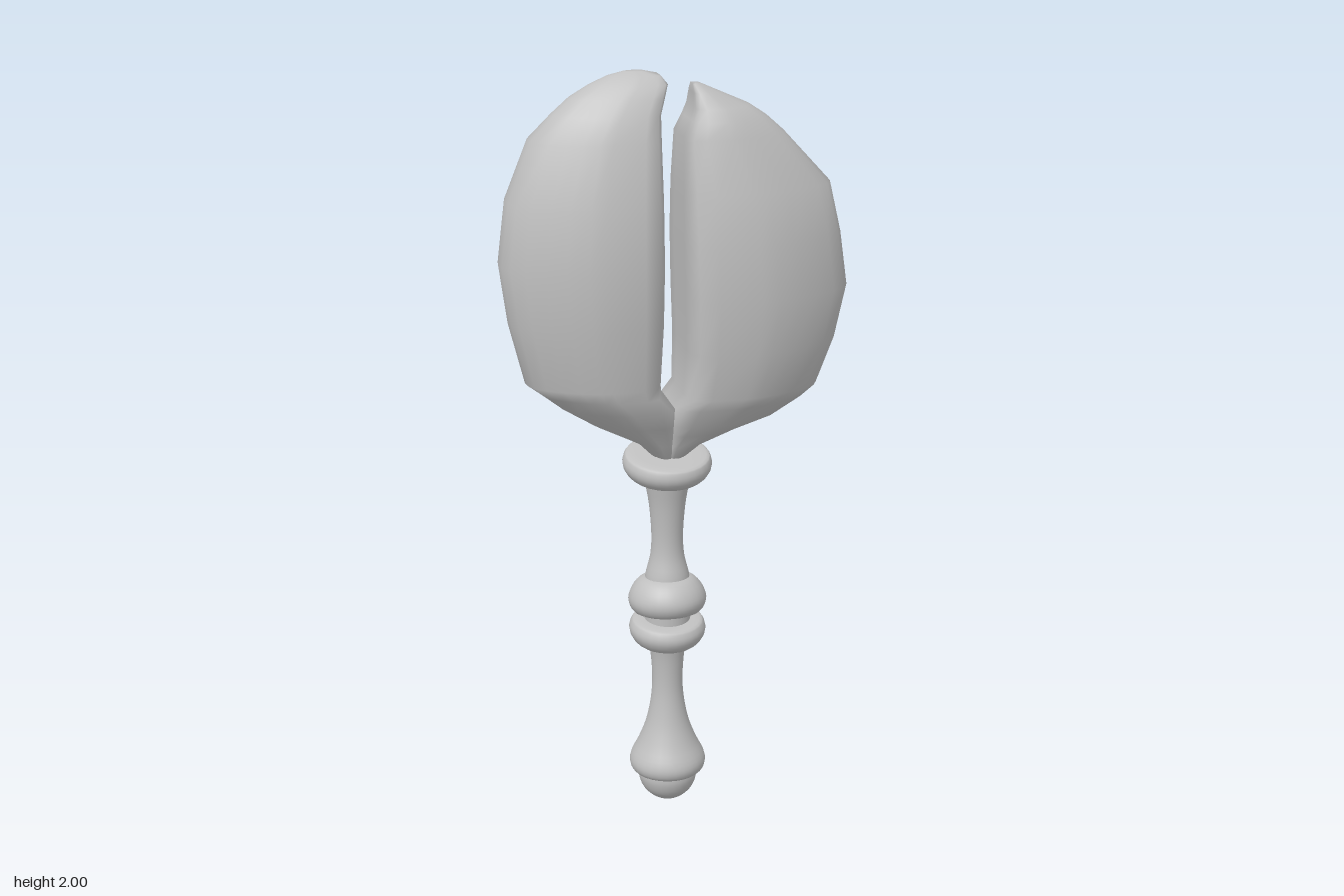
import * as THREE from 'three';

const AXIS = -0.02; // handle axis in x

// Half outline of a pad's horizontal section: [fraction inner->outer, fraction of half depth]
const SECTION = [[0, 0], [0, 0.35], [0, 0.66], [0.04, 0.88], [0.15, 1], [0.4, 1], [0.5, 0.97],
  [0.63, 0.87], [0.75, 0.74], [0.87, 0.57], [0.95, 0.41], [0.99, 0.2], [1, 0]];

// Lofts a pad through rows of [y, inner x, outer x, half depth]
function padGeometry(rows) {
  const ring = [...SECTION, ...SECTION.slice(1, -1).reverse().map(([u, w]) => [u, -w])];
  if (rows[4][2] < rows[4][1]) ring.reverse();
  const n = ring.length, pos = [], index = [];
  for (const [y, xi, xo, hz] of rows)
    for (const [u, w] of ring) pos.push(xi + (xo - xi) * u, y, hz * w);
  for (let i = 0; i < rows.length - 1; i++)
    for (let j = 0; j < n; j++) {
      const a = i * n + j, b = i * n + (j + 1) % n;
      index.push(a, b, b + n, a, b + n, a + n);
    }
  // Close both ends with a fan
  const last = (rows.length - 1) * n;
  [rows[0], rows[rows.length - 1]].forEach(([y, xi, xo], end) => {
    const c = pos.length / 3;
    pos.push((xi + xo) / 2, y, 0);
    for (let j = 0; j < n; j++) {
      const k = (j + 1) % n;
      if (end) index.push(c, last + j, last + k);
      else index.push(c, k, j);
    }
  });
  const g = new THREE.BufferGeometry();
  g.setAttribute('position', new THREE.Float32BufferAttribute(pos, 3));
  g.setIndex(index);
  g.computeVertexNormals();
  return g;
}

// Smooth turned part from a few [radius, y] points
function turned(points, smooth = true) {
  const pts = points.map(([r, y]) => new THREE.Vector2(r, y));
  const profile = smooth
    ? new THREE.SplineCurve(pts).getPoints(pts.length * 3).map(p => p.set(Math.max(p.x, 0), p.y))
    : pts;
  return new THREE.LatheGeometry(profile, 28);
}

export function createModel() {
  const model = new THREE.Group();
  const grey = new THREE.MeshStandardMaterial({ color: 0xc0c0c0 });
  grey.name = 'plain grey';

  const add = (name, geometry, x = 0, y = 0, tilt = 0) => {
    const mesh = new THREE.Mesh(geometry, grey);
    mesh.name = name;
    mesh.position.set(x, y, 0);
    mesh.rotation.x = tilt;
    model.add(mesh);
  };

  // Two pillow-shaped pads, joined at the foot
  add('rightPad', padGeometry([
    [0.99, -0.015, -0.05, 0.04], [1.04, -0.015, -0.1, 0.06], [1.1, -0.015, -0.22, 0.095],
    [1.15, -0.018, -0.3, 0.125], [1.19, -0.055, -0.35, 0.138], [1.22, -0.058, -0.39, 0.145],
    [1.38, -0.052, -0.43, 0.165], [1.53, -0.05, -0.45, 0.172], [1.69, -0.05, -0.43, 0.157],
    [1.84, -0.05, -0.37, 0.12], [1.9, -0.048, -0.31, 0.095], [1.94, -0.035, -0.265, 0.075],
    [1.97, -0.025, -0.215, 0.055], [1.99, -0.04, -0.17, 0.035], [2.0, -0.08, -0.13, 0.015],
  ]));
  add('leftPad', padGeometry([
    [0.99, -0.02, 0.015, 0.04], [1.03, -0.02, 0.07, 0.055], [1.07, -0.02, 0.17, 0.08],
    [1.1, -0.02, 0.26, 0.1], [1.15, -0.015, 0.34, 0.125], [1.18, 0.012, 0.375, 0.138],
    [1.3, 0.018, 0.42, 0.16], [1.44, 0.015, 0.45, 0.172], [1.58, 0.012, 0.43, 0.168],
    [1.71, 0.012, 0.4, 0.15], [1.84, 0.015, 0.28, 0.115], [1.88, 0.033, 0.235, 0.1],
    [1.91, 0.042, 0.19, 0.08], [1.945, 0.043, 0.11, 0.05], [1.965, 0.043, 0.065, 0.02],
  ]));

  // Turned handle: knob, lower and upper shafts
  add('endKnob', turned([[0, 0], [0.035, 0.009], [0.065, 0.035], [0.079, 0.07], [0.078, 0.1]]), AXIS);
  add('lowerShaft', turned([[0.05, 0.092], [0.088, 0.09], [0.102, 0.108], [0.1, 0.135], [0.078, 0.18],
    [0.058, 0.235], [0.045, 0.3], [0.041, 0.36], [0.045, 0.43], [0.056, 0.49]]), AXIS);
  add('middleCore', turned([[0.062, 0.48], [0.062, 0.62]], false), AXIS);
  add('upperShaft', turned([[0.062, 0.62], [0.058, 0.665], [0.045, 0.72], [0.042, 0.78],
    [0.048, 0.86], [0.058, 0.92], [0.066, 0.96]]), AXIS);

  // Tilted beads and collar
  add('lowerBead', turned([[0, -0.045], [0.06, -0.045], [0.088, -0.032], [0.102, -0.005],
    [0.098, 0.018], [0.08, 0.03], [0, 0.03]]), AXIS, 0.51, 0.1);
  add('upperBead', turned([[0, -0.04], [0.075, -0.038], [0.098, -0.022], [0.104, 0.005],
    [0.09, 0.038], [0.06, 0.062], [0, 0.065]]), AXIS, 0.595, -0.1);
  add('topCollar', turned([[0, -0.045], [0.06, -0.043], [0.098, -0.03], [0.116, -0.005],
    [0.114, 0.02], [0.095, 0.032], [0, 0.032]]), AXIS, 0.975, 0.16);

  return model;
}
